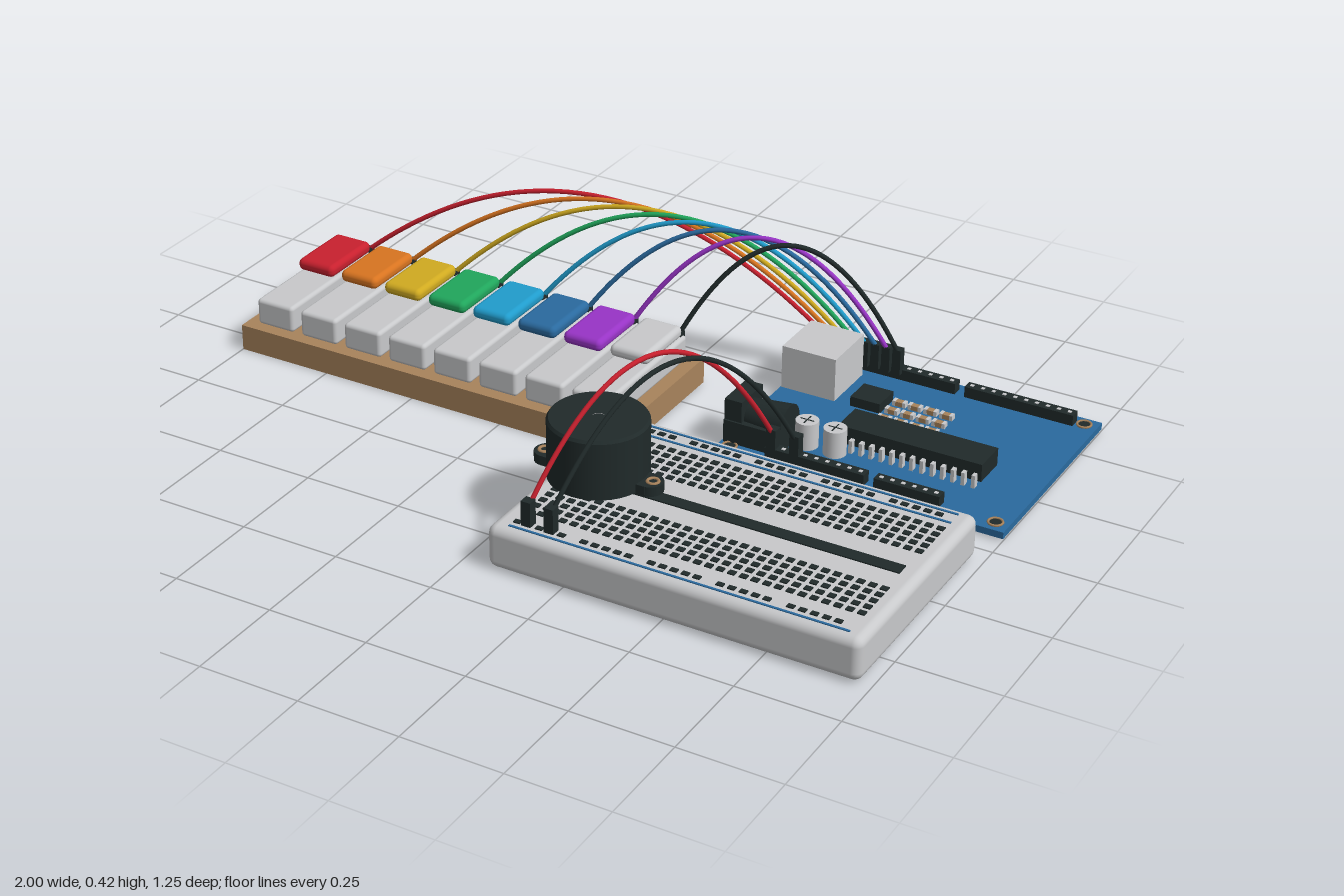
import * as THREE from 'three';
import { mergeGeometries } from 'three/addons/utils/BufferGeometryUtils.js';
import { RoundedBoxGeometry } from 'three/addons/geometries/RoundedBoxGeometry.js';

const mat = (name, color) => {
  const m = new THREE.MeshStandardMaterial({ color });
  m.name = name;
  return m;
};
const M = {
  red: mat('red', 0xc8202e), orange: mat('orange', 0xd87420), yellow: mat('yellow', 0xd0aa20),
  green: mat('green', 0x20a65c), cyan: mat('cyan', 0x209ccc), blue: mat('blue', 0x2a6a9f),
  purple: mat('purple', 0x9834c6), grey: mat('light grey', 0xc8c9cb),
  black: mat('black', 0x202a2a), wood: mat('wood', 0xa8835c),
};

// Geometry helpers take extents as [min, max] pairs
const box = (x, y, z, round = 0) => {
  const s = [x[1] - x[0], y[1] - y[0], z[1] - z[0]];
  const g = round ? new RoundedBoxGeometry(...s, 3, round) : new THREE.BoxGeometry(...s);
  return g.translate((x[0] + x[1]) / 2, (y[0] + y[1]) / 2, (z[0] + z[1]) / 2);
};
const block = (x, z, w, d, y0, y1) => box([x - w / 2, x + w / 2], [y0, y1], [z - d / 2, z + d / 2]);
const drum = (x, z, r, y0, y1, sides = 24) =>
  new THREE.CylinderGeometry(r, r, y1 - y0, sides).translate(x, (y0 + y1) / 2, z);
const ring = (x, y, z, r, tube) =>
  new THREE.TorusGeometry(r, tube, 6, 20).rotateX(Math.PI / 2).translate(x, y, z);

function add(group, name, material, ...geos) {
  const mesh = new THREE.Mesh(geos.length > 1 ? mergeGeometries(geos) : geos[0], material);
  mesh.name = name;
  group.add(mesh);
}
function part(parent, name) {
  const g = new THREE.Group();
  g.name = name;
  parent.add(g);
  return g;
}
function wire(group, name, material, a, b, peak) {
  const mid = new THREE.Vector3((a[0] + b[0]) / 2, 2 * peak - (a[1] + b[1]) / 2, (a[2] + b[2]) / 2);
  const curve = new THREE.QuadraticBezierCurve3(new THREE.Vector3(...a), mid, new THREE.Vector3(...b));
  add(group, name, material, new THREE.TubeGeometry(curve, 40, 0.006, 8));
}

// Wooden plank with eight colour-capped keys, each wired to the circuit board
function keyboard(root) {
  const g = part(root, 'keyboard');
  add(g, 'plank', M.wood, box([-1, 0.07], [0, 0.067], [-0.363, 0.065]));
  ['red', 'orange', 'yellow', 'green', 'cyan', 'blue', 'purple', 'grey'].forEach((c, i) => {
    const x = -0.917 + i * 0.129, w = [x - 0.053, x + 0.053];
    add(g, 'keyBody', M.grey, box(w, [0.067, 0.136], [-0.333, 0.038], 0.01));
    add(g, 'keyCap', M[c], box(w, [0.139, 0.171], [-0.313, -0.137], 0.014));
    add(g, 'keyNeck', M.grey, block(x, -0.225, 0.08, 0.14, 0.13, 0.145));
    add(g, 'keyContact', M.black, block(x - 0.03, -0.324, 0.02, 0.022, 0.13, 0.145),
      block(x + 0.03, -0.324, 0.03, 0.022, 0.13, 0.145));
    const end = 0.285 + i * 0.029;
    wire(g, 'keyWire', c === 'grey' ? M.black : M[c], [x + 0.035, 0.138, -0.328], [end, 0.1, -0.572], 0.38);
    add(g, 'wirePlug', M.black, block(end, -0.576, 0.022, 0.022, 0.04, 0.107));
  });
}

// Breadboard with hole grid, centre groove and rail lines
function breadboard(root) {
  const g = part(root, 'breadboard');
  add(g, 'breadboardBody', M.grey, box([0.063, 0.976], [0.003, 0.11], [0.032, 0.622], 0.022));
  add(g, 'centreGroove', M.black, box([0.11, 0.93], [0.107, 0.113], [0.31, 0.344]));
  const holes = [];
  for (let i = 0; i < 30; i++) {
    const x = 0.117 + i * 0.028;
    for (let r = 0; r < 5; r++)
      for (const z of [0.133 + r * 0.027, 0.413 + r * 0.027]) holes.push(block(x, z, 0.017, 0.015, 0.108, 0.113));
    if (i % 6 < 5) for (const z of [0.08, 0.574]) holes.push(block(x, z, 0.017, 0.013, 0.108, 0.113));
  }
  add(g, 'holes', M.black, ...holes);
  add(g, 'railLines', M.blue, ...[0.06, 0.1, 0.596].map(z => block(0.523, z, 0.83, 0.006, 0.107, 0.112)));
}

// Round buzzer with two mounting ears
function buzzer(root) {
  const g = part(root, 'buzzer'), cx = 0.185, cz = 0.34;
  const profile = [[0, 0.134], [0.117, 0.134], [0.117, 0.134], [0.117, 0.275], [0.117, 0.275], [0.112, 0.282],
    [0.112, 0.282], [0.014, 0.282]].map(p => new THREE.Vector2(...p));
  add(g, 'buzzerBody', M.black, new THREE.LatheGeometry(profile, 40).translate(cx, 0, cz));
  add(g, 'soundHole', M.black, drum(cx, cz, 0.016, 0.27, 0.279));
  const ears = [], eyelets = [];
  for (const s of [-1, 1]) {
    ears.push(block(cx + s * 0.11, cz, 0.05, 0.062, 0.132, 0.156));
    ears.push(drum(cx + s * 0.133, cz, 0.031, 0.132, 0.156));
    eyelets.push(ring(cx + s * 0.14, 0.156, cz, 0.013, 0.004));
  }
  add(g, 'mountingEars', M.black, ...ears);
  add(g, 'eyelets', M.wood, ...eyelets);
  add(g, 'buzzerPins', M.grey, drum(cx - 0.05, cz, 0.007, 0.1, 0.14, 8), drum(cx + 0.05, cz, 0.007, 0.1, 0.14, 8));
}

// Blue circuit board and its components
function circuitBoard(root) {
  const g = part(root, 'circuitBoard'), top = 0.022;
  add(g, 'boardPlate', M.blue, box([0.26, 1], [0.005, top], [-0.628, -0.055]));
  const corners = [[0.29, -0.598], [0.967, -0.598], [0.29, -0.086], [0.967, -0.086]];
  add(g, 'mountingHoles', M.black, ...corners.map(([x, z]) => drum(x, z, 0.016, 0.02, 0.024)));
  add(g, 'holeRims', M.wood, ...corners.map(([x, z]) => ring(x, 0.024, z, 0.017, 0.003)));
  add(g, 'usbSocket', M.grey, box([0.262, 0.405], [top, 0.134], [-0.555, -0.402]));
  add(g, 'powerJack', M.black, box([0.265, 0.41], [top, 0.08], [-0.21, -0.1]),
    box([0.265, 0.31], [0.07, 0.134], [-0.21, -0.105]), 
    new THREE.CylinderGeometry(0.04, 0.05, 0.1, 20).rotateZ(Math.PI / 2).translate(0.36, 0.08, -0.157));

  // Pin headers with socket openings
  const strips = [], sockets = [];
  for (const [x0, x1, z] of [[0.27, 0.64, -0.592], [0.665, 0.945, -0.592], [0.385, 0.64, -0.094], [0.665, 0.83, -0.094]]) {
    strips.push(box([x0, x1], [top, 0.05], [z - 0.014, z + 0.014]));
    const n = Math.round((x1 - x0) / 0.028);
    for (let i = 0; i < n; i++) sockets.push(block(x0 + (i + 0.5) * (x1 - x0) / n, z, 0.009, 0.009, 0.045, 0.0515));
  }
  add(g, 'pinHeaders', M.black, ...strips);
  add(g, 'headerSockets', M.grey, ...sockets);

  // Main chip with two rows of pins
  add(g, 'mainChip', M.black, box([0.508, 0.874], [0.035, 0.08], [-0.302, -0.212]));
  const pins = [];
  for (let i = 0; i < 14; i++)
    for (const s of [-1, 1]) pins.push(block(0.522 + i * 0.026, -0.257 + s * 0.052, 0.009, 0.016, top, 0.055));
  add(g, 'chipPins', M.grey, ...pins);
  add(g, 'smallChip', M.black, box([0.447, 0.525], [top, 0.047], [-0.477, -0.402]));

  // Capacitors with scored tops
  for (const x of [0.443, 0.516]) {
    add(g, 'capacitor', M.grey, drum(x, -0.182, 0.028, top, 0.09));
    add(g, 'capacitorScore', M.black, block(x, -0.182, 0.036, 0.003, 0.088, 0.091),
      block(x, -0.182, 0.003, 0.036, 0.088, 0.091));
  }

  // Rows of tiny surface parts
  const bodies = [], ends = [];
  for (const z of [-0.463, -0.42, -0.377])
    for (let i = 0; i < 4; i++) {
      const x = 0.55 + i * 0.041;
      bodies.push(block(x, z, 0.02, 0.016, top, 0.034));
      for (const s of [-1, 1]) ends.push(block(x + s * 0.013, z, 0.008, 0.017, top, 0.035));
    }
  add(g, 'surfaceParts', M.wood, ...bodies);
  add(g, 'surfacePartEnds', M.grey, ...ends);
  add(g, 'resetSwitch', M.grey, block(0.355, -0.602, 0.05, 0.04, top, 0.055));
  add(g, 'resetButton', M.red, drum(0.355, -0.602, 0.015, 0.055, 0.066, 16));
}

// Two jumper wires from breadboard to circuit board
function jumpers(root) {
  const g = part(root, 'jumperWires');
  for (const [c, x0, x1] of [['red', 0.142, 0.4], ['black', 0.2, 0.46]]) {
    wire(g, 'jumperWire', M[c], [x0, 0.155, 0.565], [x1, 0.085, -0.09], 0.413);
    add(g, 'jumperPlugs', M.black, block(x0, 0.57, 0.024, 0.024, 0.105, 0.172),
      block(x1, -0.092, 0.024, 0.024, 0.04, 0.1));
  }
}

export function createModel() {
  const root = new THREE.Group();
  root.name = 'electronicKeyboardProject';
  [keyboard, breadboard, buzzer, circuitBoard, jumpers].forEach(build => build(root));
  return root;
}
